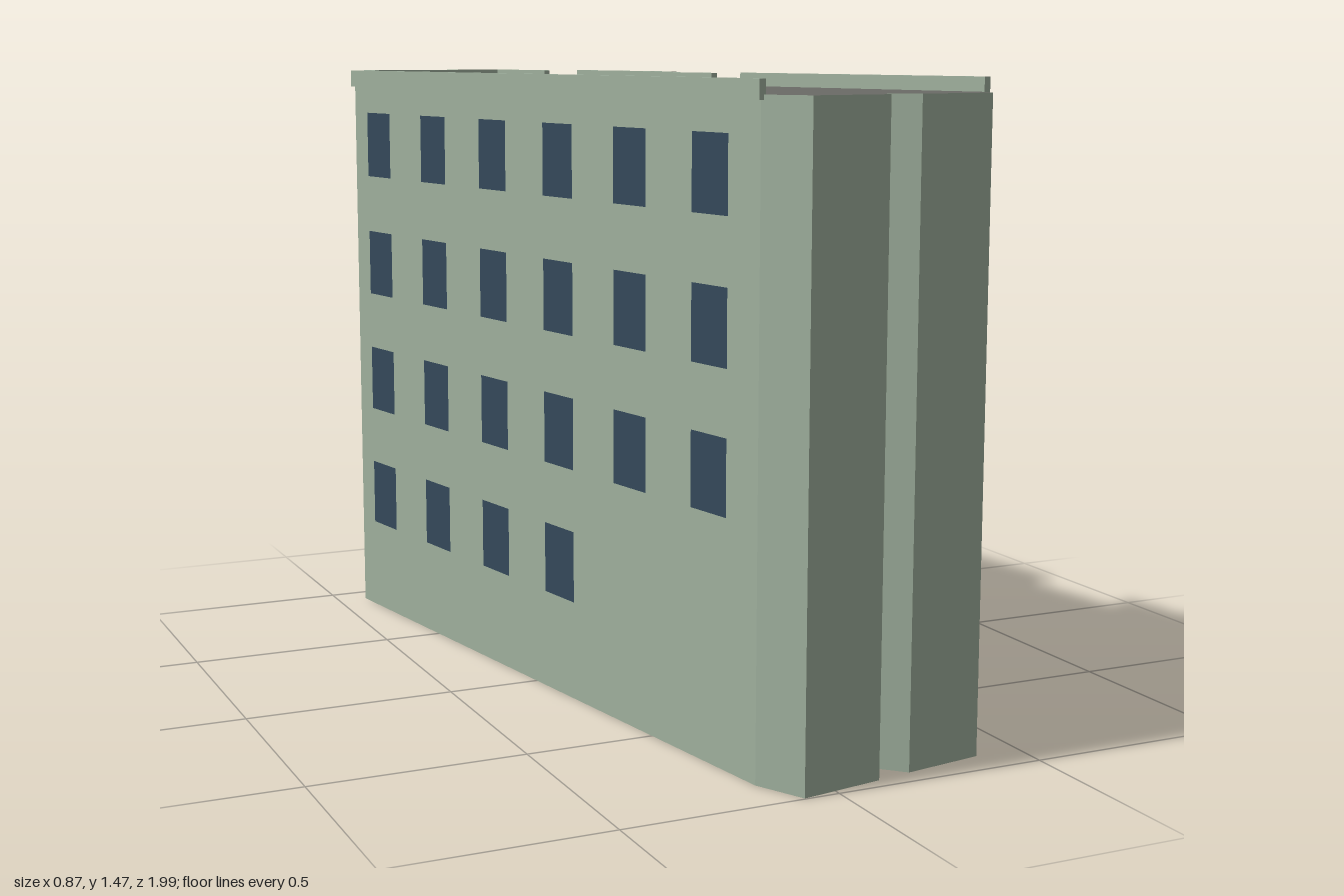
import * as THREE from 'three';

const ROOF_Y = 1.44;
const FLOORS = [0.322, 0.64, 0.957, 1.275]; // window centre heights
const WINDOW_W = 0.13, WINDOW_H = 0.17;

// Footprint corners as [x, z], running back -> right side -> front -> left side
const PLAN = [
  [-0.425, -0.93], [0.013, -0.988],               // back wall
  [0.053, -0.735], [0.163, -0.752],               // first step
  [0.237, -0.318], [0.147, -0.303],               // wing
  [0.195, 0.0], [0.287, -0.012],                  // recess
  [0.422, 0.842], [0.39, 0.92], [0.2, 0.95],      // main side and front right
  [0.14, 0.89], [0.117, 0.965],                   // front groove
  [-0.08, 0.997], [-0.137, 0.885],                // front left
];

// Start, direction, length and outward normal of the wall after corner i
function wall(i) {
  const [ax, az] = PLAN[i], [bx, bz] = PLAN[(i + 1) % PLAN.length];
  const length = Math.hypot(bx - ax, bz - az);
  const dx = (bx - ax) / length, dz = (bz - az) / length;
  return { ax, az, bz, dx, dz, length, nx: dz, nz: -dx };
}

// Put a mesh on a wall at a distance along it, facing outwards
function placeOnWall(mesh, w, along, y, out) {
  mesh.position.set(w.ax + w.dx * along + w.nx * out, y, w.az + w.dz * along + w.nz * out);
  mesh.rotation.y = Math.atan2(w.nx, w.nz);
  return mesh;
}

export function createModel() {
  const model = new THREE.Group();
  model.name = 'apartmentBlock';
  const wallMat = new THREE.MeshStandardMaterial({ color: 0x9fb09d });
  const roofMat = new THREE.MeshStandardMaterial({ color: 0x6b6b66 });
  const glassMat = new THREE.MeshStandardMaterial({ color: 0x34485a });

  // Body: the footprint extruded upwards, with grey roof and base
  const shape = new THREE.Shape(PLAN.map(([x, z]) => new THREE.Vector2(x, -z)));
  const bodyGeo = new THREE.ExtrudeGeometry(shape, { depth: ROOF_Y, bevelEnabled: false });
  bodyGeo.rotateX(-Math.PI / 2);
  const body = new THREE.Mesh(bodyGeo, [roofMat, wallMat]);
  body.name = 'body';
  model.add(body);

  // Parapets along the back, the long left wall and the right-hand walls
  const parapets = new THREE.Group();
  parapets.name = 'parapets';
  for (const i of [0, 1, 3, 5, 7, 14]) {
    const w = wall(i);
    const geo = new THREE.BoxGeometry(w.length + 0.012, 0.043, 0.016);
    const parapet = placeOnWall(new THREE.Mesh(geo, wallMat), w, w.length / 2, 1.4505, 0.001);
    parapet.name = 'parapet';
    parapets.add(parapet);
  }
  model.add(parapets);

  // Windows, one column at a time
  const windows = new THREE.Group();
  windows.name = 'windows';
  const pane = new THREE.PlaneGeometry(WINDOW_W, WINDOW_H);
  function windowColumn(wallIndex, z, firstFloor = 0) {
    const w = wall(wallIndex);
    const along = w.length * (z - w.az) / (w.bz - w.az);
    for (const y of FLOORS.slice(firstFloor)) {
      const mesh = placeOnWall(new THREE.Mesh(pane, glassMat), w, along, y, 0.003);
      mesh.name = 'window';
      windows.add(mesh);
    }
  }
  // Right-hand walls
  [[7, 0.635], [7, 0.208], [5, -0.148], [3, -0.535], [1, -0.865]]
    .forEach(([i, z]) => windowColumn(i, z));
  // Back wall
  windowColumn(0, -0.96);
  // Left wall: the two columns nearest the front have no ground-floor window
  for (let k = 0; k < 6; k++) windowColumn(14, -0.79 + k * 0.301, k > 3 ? 1 : 0);
  model.add(windows);

  return model;
}
